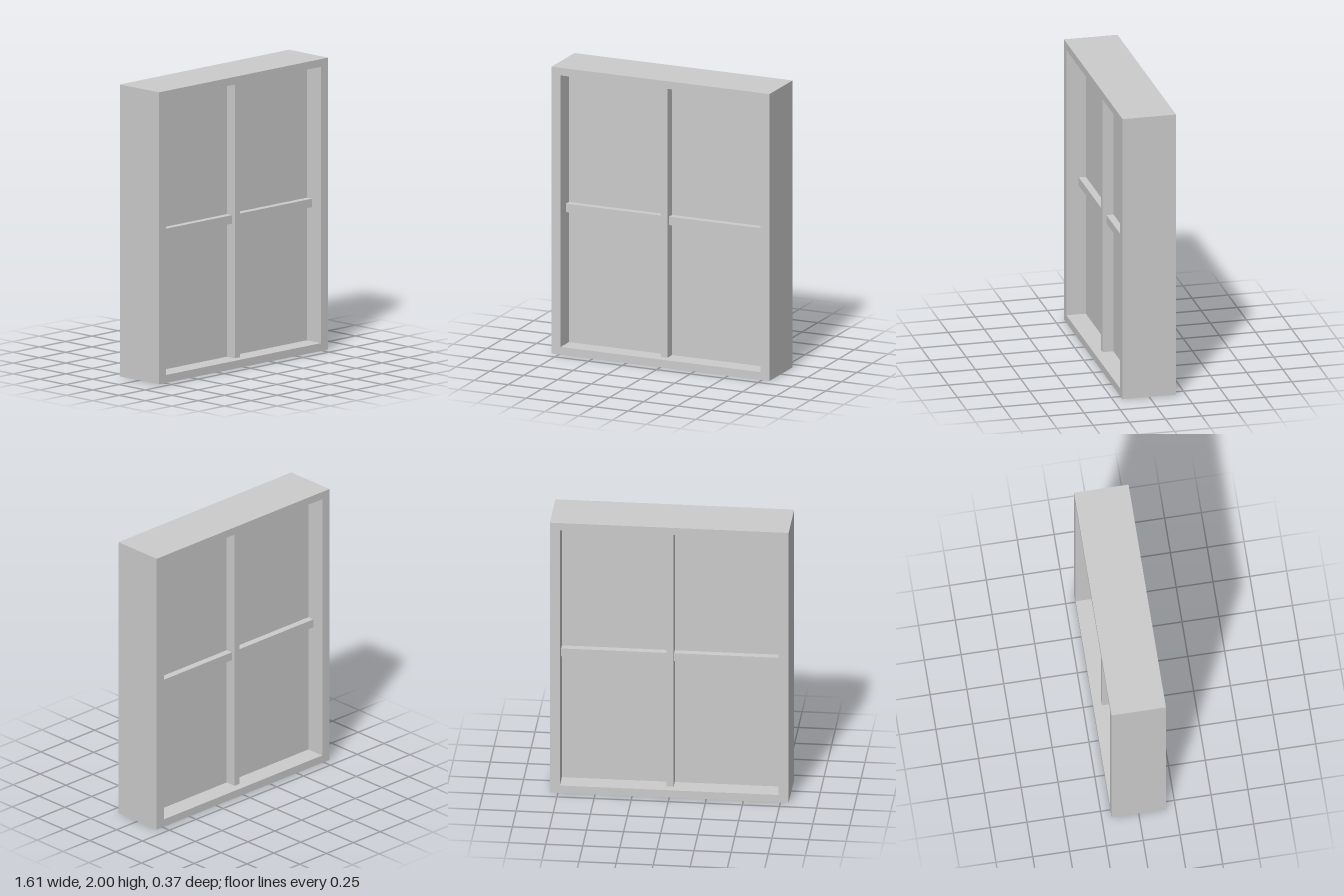
import * as THREE from 'three';

const material = new THREE.MeshStandardMaterial({ color: 0xcccccc, flatShading: true });

// Overall sizes
const HALF_W = 0.805, HEIGHT = 2, DEPTH = 0.37;
const IN_W = 0.737, IN_BOTTOM = 0.054, IN_TOP = 1.947;
const PANE_Z = 0.051;

function rectangle(path, x0, y0, x1, y1) {
  path.moveTo(x0, y0);
  path.lineTo(x1, y0);
  path.lineTo(x1, y1);
  path.lineTo(x0, y1);
  path.closePath();
  return path;
}

export function createModel() {
  const group = new THREE.Group();
  group.name = 'window';

  function addBox(name, x0, x1, y0, y1, z0, z1) {
    const mesh = new THREE.Mesh(new THREE.BoxGeometry(x1 - x0, y1 - y0, z1 - z0), material);
    mesh.position.set((x0 + x1) / 2, (y0 + y1) / 2, (z0 + z1) / 2);
    mesh.name = name;
    group.add(mesh);
  }

  // Outer frame, a rectangle with one large opening
  const outline = rectangle(new THREE.Shape(), -HALF_W, 0, HALF_W, HEIGHT);
  outline.holes.push(rectangle(new THREE.Path(), -IN_W, IN_BOTTOM, IN_W, IN_TOP));
  const frameGeometry = new THREE.ExtrudeGeometry(outline, { depth: DEPTH, bevelEnabled: false });
  frameGeometry.translate(0, 0, -DEPTH / 2);
  const frame = new THREE.Mesh(frameGeometry, material);
  frame.name = 'frame';
  group.add(frame);

  // Pane in the middle of the depth
  addBox('pane', -IN_W, IN_W, IN_BOTTOM, IN_TOP, -PANE_Z, PANE_Z);

  // Upright mullion, standing proud of the pane on both faces
  addBox('mullion', -0.024, 0.024, IN_BOTTOM, IN_TOP, -0.126, 0.126);

  // Shallower crossbars on either side of the mullion
  addBox('leftCrossbar', 0.024, IN_W, 0.973, 1.031, -0.1, 0.1);
  addBox('rightCrossbar', -IN_W, -0.024, 0.973, 1.031, -0.1, 0.1);

  return group;
}
